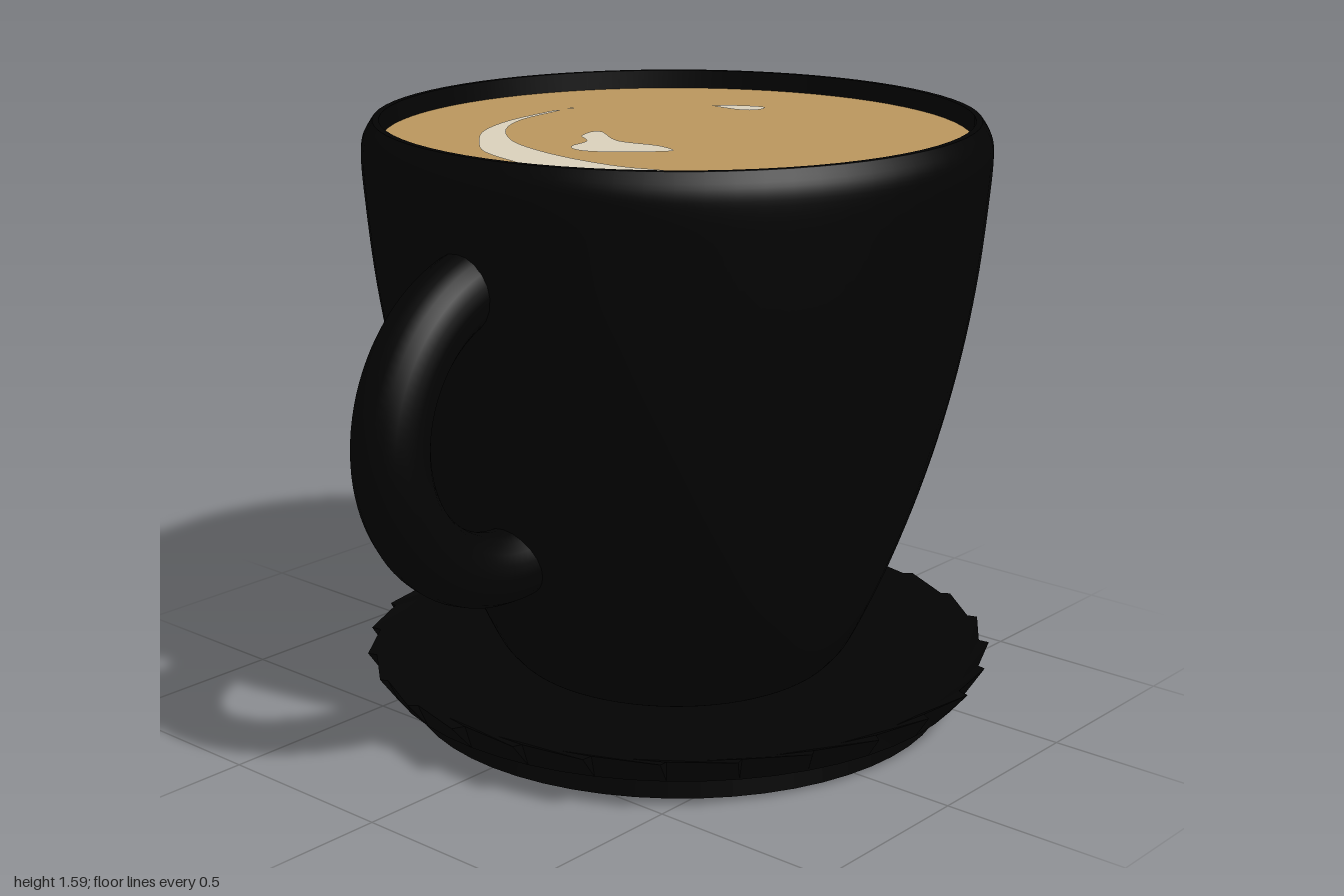
import * as THREE from 'three';

const black = new THREE.MeshStandardMaterial({ color: 0x030303 });
black.name = 'black ceramic';
const brown = new THREE.MeshStandardMaterial({ color: 0xbd995f });
brown.name = 'coffee brown';
const cream = new THREE.MeshStandardMaterial({ color: 0xded4be });
cream.name = 'foam cream';

const CX = 0.127;   // cup axis
const SX = 0.144;   // saucer axis
const v2 = ([x, y]) => new THREE.Vector2(x, y);

function add(parent, name, geometry, material, x = 0, y = 0, z = 0) {
  const mesh = new THREE.Mesh(geometry, material);
  mesh.name = name;
  mesh.position.set(x, y, z);
  parent.add(mesh);
  return mesh;
}

// Saucer whose rim is a ring of stepped, saw-tooth panels
function saucerGeometry() {
  let seed = 7;
  const rand = () => (seed = (seed * 16807) % 2147483647) / 2147483647;
  const n = 56, step = (Math.PI * 2) / n;
  const profile = [[0, 0], [0.728, 0], [0.722, 0.045], [0.8, 0.08], [0.85, 0.146], [0.8, 0.136], [0.5, 0.11], [0, 0.103]];
  const geo = new THREE.LatheGeometry(profile.map(v2), n);
  const pos = geo.attributes.position;
  // Even columns are the inner start of a panel, odd ones its outer tip
  const radius = Array.from({ length: n }, (_, i) => (i % 2 ? 0.846 : 0.822) + 0.01 * rand());
  for (let i = 0; i <= n; i++) {
    const k = i * profile.length + 4;
    const angle = (i + (i % 2 ? 0.85 : 0)) * step;
    pos.setX(k, radius[i % n] * Math.sin(angle));
    pos.setZ(k, radius[i % n] * Math.cos(angle));
  }
  const flat = geo.toNonIndexed();
  flat.computeVertexNormals();
  return flat;
}

// Flat patch from a smooth outline in x, z
function foamPatch(points) {
  const pts = points.map(([x, z]) => new THREE.Vector2(x, -z));
  const curve = new THREE.SplineCurve([...pts, pts[0]]);
  const shape = new THREE.Shape(curve.getPoints(pts.length * 4).slice(0, -1));
  return new THREE.ShapeGeometry(shape).rotateX(-Math.PI / 2);
}

export function createModel() {
  const model = new THREE.Group();
  model.name = 'coffeeCup';

  add(model, 'saucer', saucerGeometry(), black, SX);

  // Cup: tapering wall with rounded foot and lip
  const wall = new THREE.SplineCurve([
    [0.37, 0.106], [0.42, 0.12], [0.455, 0.15], [0.495, 0.21], [0.58, 0.4], [0.652, 0.6], [0.71, 0.8],
    [0.755, 1.0], [0.787, 1.2], [0.807, 1.4], [0.813, 1.5], [0.806, 1.55], [0.782, 1.59],
  ].map(v2)).getPoints(52);
  add(model, 'cup', new THREE.LatheGeometry(wall, 72), black, CX, 0, 0.004);
  const rim = new THREE.LatheGeometry([[0.782, 1.59], [0.765, 1.59]].map(v2), 72);
  add(model, 'rimTop', rim, black, CX, 0, 0.004);
  const inner = new THREE.LatheGeometry([[0.765, 1.59], [0.76, 1.535]].map(v2), 72);
  add(model, 'innerLip', inner, black, CX, 0, 0.004);

  // Handle: round arc with domed ends
  const handle = new THREE.Group();
  handle.name = 'handle';
  handle.position.set(-0.53, 0.912, 0.004);
  model.add(handle);
  const R = 0.375, r = 0.095;
  const start = THREE.MathUtils.degToRad(103), end = THREE.MathUtils.degToRad(275);
  const arc = new THREE.TorusGeometry(R, r, 20, 48, end - start).rotateZ(start);
  add(handle, 'handleArc', arc, black);
  for (const a of [start, end]) {
    add(handle, 'handleEnd', new THREE.SphereGeometry(r, 20, 14), black, R * Math.cos(a), R * Math.sin(a));
  }

  // Coffee surface
  const disc = new THREE.CircleGeometry(0.762, 72).rotateX(-Math.PI / 2);
  add(model, 'coffee', disc, brown, CX, 1.54, 0.004);

  // Foam marks
  const marks = {
    foamStreak: [[0.17, -0.47], [-0.02, -0.45], [-0.18, -0.39], [-0.3, -0.29], [-0.4, -0.17], [-0.45, 0],
      [-0.455, 0.09], [-0.42, 0.21], [-0.36, 0.33], [-0.29, 0.33], [-0.32, 0.21], [-0.32, 0.05],
      [-0.29, -0.11], [-0.235, -0.24], [-0.13, -0.36], [0, -0.43], [0.17, -0.455]],
    foamTail: [[-0.285, 0.345], [-0.235, 0.42], [-0.185, 0.5], [-0.205, 0.5], [-0.265, 0.41]],
    foamBlob: [[-0.01, -0.17], [0.005, -0.145], [-0.065, -0.03], [-0.05, 0.09], [-0.075, 0.165], [-0.12, 0.145],
      [-0.2, 0.06], [-0.23, -0.01], [-0.2, -0.065], [-0.12, -0.085], [-0.075, -0.145]],
    foamFleck: [[0.51, -0.2], [0.555, -0.16], [0.59, -0.085], [0.565, -0.06], [0.525, -0.065], [0.505, -0.11]],
    foamDot: [[0.21, -0.465], [0.235, -0.465], [0.225, -0.45]],
  };
  for (const [name, points] of Object.entries(marks)) {
    add(model, name, foamPatch(points), cream, 0, 1.544, 0);
  }

  return model;
}
